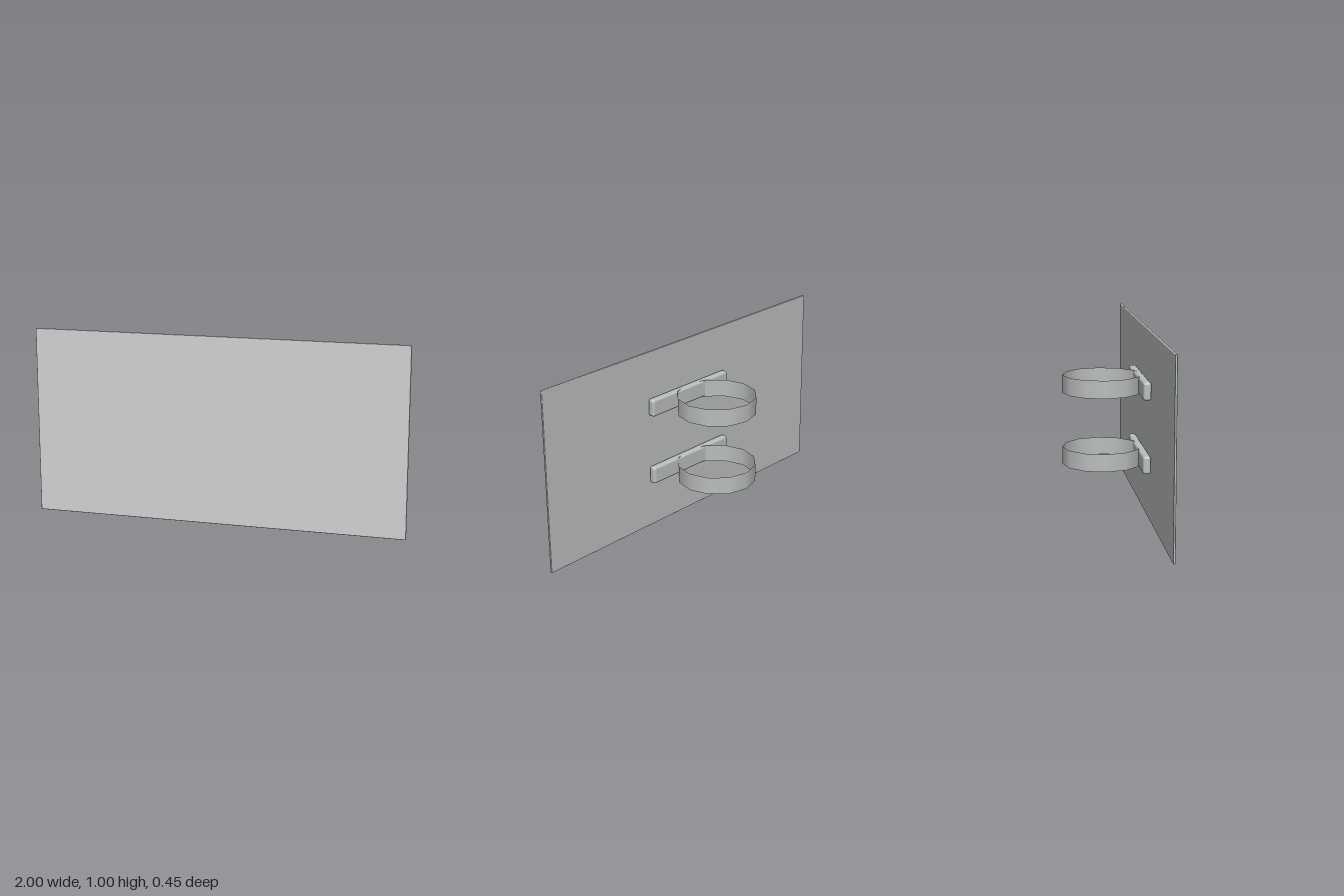
import * as THREE from 'three';
import { RoundedBoxGeometry } from 'three/addons/geometries/RoundedBoxGeometry.js';

export function createModel() {
  const model = new THREE.Group();
  model.name = 'signBoard';

  const metal = new THREE.MeshStandardMaterial({ color: 0xbbbfbd });
  metal.name = 'bare metal';
  const bandMetal = new THREE.MeshStandardMaterial({ color: 0xbbbfbd, side: THREE.DoubleSide });
  bandMetal.name = 'band metal';
  const faceGrey = new THREE.MeshStandardMaterial({ color: 0xd3d3d3 });
  faceGrey.name = 'light grey face';

  const add = (parent, name, geometry, material, x, y, z) => {
    const mesh = new THREE.Mesh(geometry, material);
    mesh.name = name;
    mesh.position.set(x, y, z);
    parent.add(mesh);
    return mesh;
  };

  // Thin panel, light on its front and bare metal on the back and edges
  const panelMaterials = [metal, metal, metal, metal, faceGrey, metal];
  add(model, 'panel', new RoundedBoxGeometry(2, 1, 0.012, 2, 0.004), panelMaterials, 0, 0.5, 0.218);

  // Two mounts: a rounded rail on the panel and an open band around the post
  const height = 0.095;
  const radius = 0.212;
  const railGeometry = new RoundedBoxGeometry(0.58, height, 0.041, 3, 0.013);
  const bandGeometry = new THREE.CylinderGeometry(radius, radius, height, 12, 1, true);
  [['lower', 0.307], ['upper', 0.696]].forEach(([level, y]) => {
    const mount = new THREE.Group();
    mount.name = level + 'Mount';
    mount.position.y = y;
    add(mount, level + 'Rail', railGeometry, metal, 0, 0, 0.191);
    add(mount, level + 'Band', bandGeometry, bandMetal, 0, 0, -0.224 + radius);
    model.add(mount);
  });

  return model;
}
